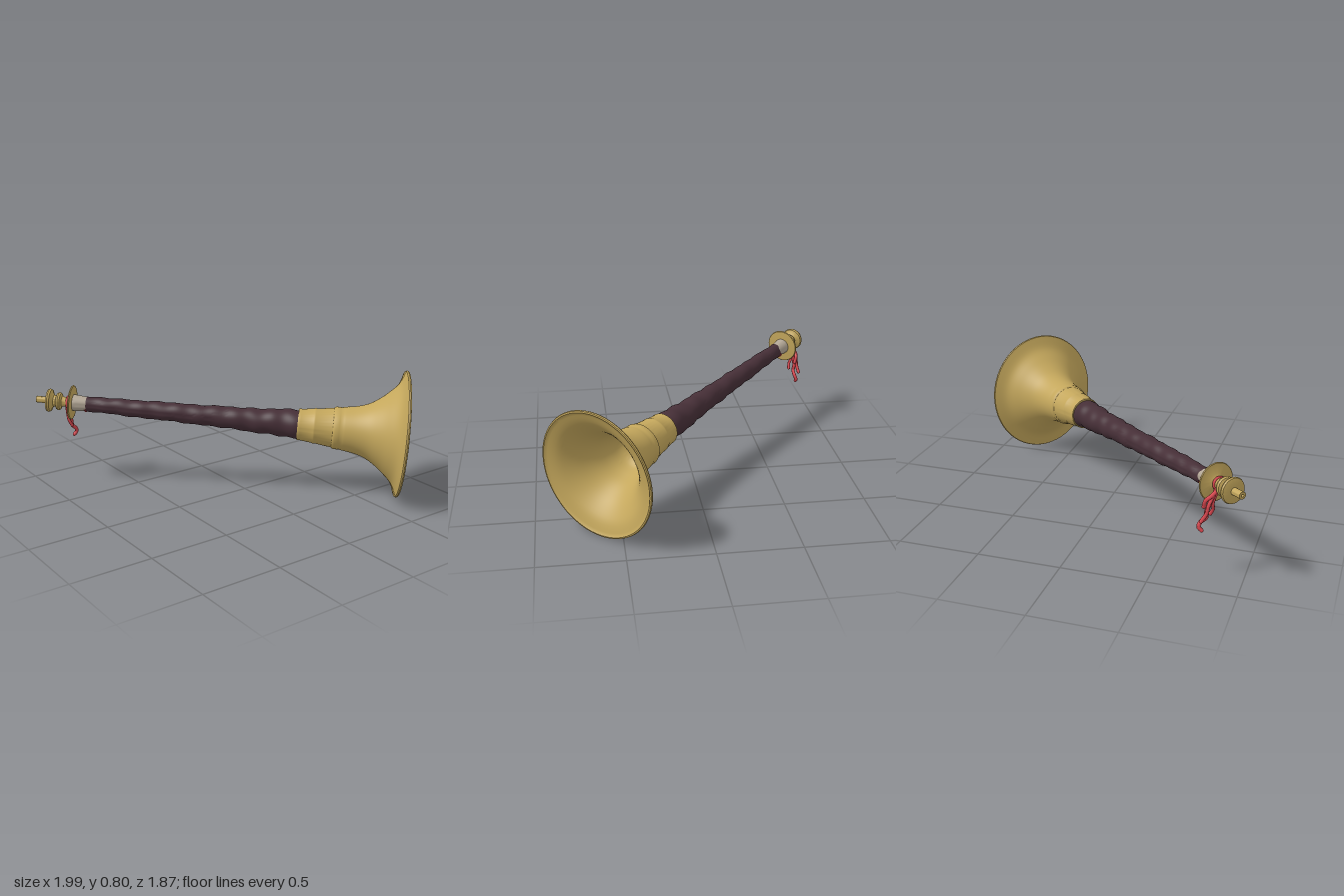
import * as THREE from 'three';
import { toCreasedNormals } from 'three/addons/utils/BufferGeometryUtils.js';

const mat = (name, color, side = THREE.FrontSide) => {
  const m = new THREE.MeshStandardMaterial({ color, side });
  m.name = name;
  return m;
};

export function createModel() {
  const gold = mat('brass', 0xc4a75c);
  const dark = mat('dark wrapping', 0x462f37);
  const grey = mat('bare tube', 0xb3a796);
  const red = mat('red cord', 0xd9474f);

  const model = new THREE.Group();
  model.name = 'longHorn';

  // The horn is turned around local Y, from mouthpiece tip (0) to bell rim (2.34)
  const tip = new THREE.Vector3(-0.985, 0.56, -0.92);
  const rim = new THREE.Vector3(0.75, 0.402, 0.645);
  const axis = rim.clone().sub(tip).normalize();
  const side = new THREE.Vector3(axis.z, 0, -axis.x).normalize();
  const horn = new THREE.Group();
  horn.name = 'horn';
  horn.position.copy(tip);
  horn.quaternion.setFromRotationMatrix(
    new THREE.Matrix4().makeBasis(side, axis, side.clone().cross(axis)));
  model.add(horn);

  const add = (parent, name, geometry, material) => {
    const mesh = new THREE.Mesh(geometry, material);
    mesh.name = name;
    parent.add(mesh);
    return mesh;
  };

  // Turned part; an optional rule reshapes each vertex
  const turned = (name, points, material, segments = 48, rule = null, crease = 0.6) => {
    const geo = new THREE.LatheGeometry(points.map(([r, t]) => new THREE.Vector2(r, t)), segments);
    if (rule) {
      const p = geo.attributes.position;
      const v = new THREE.Vector3();
      for (let i = 0; i < p.count; i++) {
        rule(v.fromBufferAttribute(p, i));
        p.setXYZ(i, v.x, v.y, v.z);
      }
    }
    return add(horn, name, toCreasedNormals(geo, crease), material);
  };

  // Mouthpiece: bored stem, two turned discs, neck and wide flange
  turned('mouthpiece', [
    [0.0, 0.05], [0.008, 0.05], [0.008, 0], [0.021, 0], [0.021, 0.07],
    [0.05, 0.07], [0.071, 0.075], [0.075, 0.085], [0.07, 0.097], [0.05, 0.104],
    [0.038, 0.115], [0.038, 0.13], [0.053, 0.137], [0.058, 0.148], [0.053, 0.16],
    [0.035, 0.168], [0.029, 0.185], [0.034, 0.215], [0.05, 0.224],
    [0.107, 0.227], [0.111, 0.232], [0.107, 0.238], [0.045, 0.242],
  ], gold);

  // Bare tube between flange and wrapping
  turned('bareTube', [[0.053, 0.238], [0.051, 0.27], [0.047, 0.31], [0.044, 0.35]], grey, 32);

  // Cloth-wrapped shaft with uneven spiral folds
  const radii = new THREE.SplineCurve([
    [0.33, 0.047], [0.5, 0.051], [0.7, 0.056], [1.0, 0.062], [1.3, 0.071], [1.5, 0.081], [1.7, 0.093],
  ].map(([t, r]) => new THREE.Vector2(t, r)));
  const shaftPoints = radii.getPoints(110).map((q) => [q.y, q.x]);
  shaftPoints.unshift([0.04, 0.33]);
  turned('wrappedShaft', shaftPoints, dark, 40, (v) => {
    const a = Math.atan2(v.z, v.x);
    const k = 1 + 0.035 * Math.sin(v.y * 52 + a) + 0.025 * Math.sin(v.y * 31 - 2 * a)
      + 0.02 * Math.sin(v.y * 17 + a + 1);
    v.x *= k;
    v.z *= k;
  }, 1.2);

  // Bell: outside with collar bands, rolled rim, then the inside
  const flare = (v) => {
    const f = THREE.MathUtils.smoothstep(v.y, 1.95, 2.34);
    v.x *= 1 - 0.055 * f;
    v.y -= 0.033 * v.x * f;
  };
  const curve = (pts, n) => new THREE.SplineCurve(pts.map((p) => new THREE.Vector2(...p)))
    .getPoints(n).map((q) => [q.x, q.y]);
  turned('bell', [
    [0.085, 1.685], [0.098, 1.685], [0.101, 1.693], [0.099, 1.703], [0.108, 1.78],
    [0.111, 1.784], [0.112, 1.794], [0.11, 1.8], [0.125, 1.905],
    [0.131, 1.91], [0.134, 1.92], [0.134, 1.945], [0.132, 1.952],
    ...curve([[0.137, 1.97], [0.15, 2.05], [0.173, 2.12], [0.21, 2.18], [0.255, 2.235],
      [0.315, 2.293], [0.388, 2.322]], 28),
    [0.396, 2.324], [0.4, 2.332], [0.397, 2.34], [0.388, 2.342],
    ...curve([[0.38, 2.335], [0.31, 2.306], [0.245, 2.25], [0.198, 2.19], [0.162, 2.125],
      [0.138, 2.05], [0.115, 1.98], [0.075, 1.94]], 28),
  ], gold, 72, flare);

  // Throat floor: dark on one half, red on the other
  [[dark, 'throatDark', 0], [red, 'throatRed', Math.PI]].forEach(([m, name, turn]) => {
    const half = add(horn, name, new THREE.CircleGeometry(0.085, 20, Math.PI / 2 + turn, Math.PI), m);
    half.rotation.x = -Math.PI / 2;
    half.position.y = 1.948;
  });

  // Cord loops round the neck and under the start of the wrapping
  const loop = (name, t, r, thick, start, arc) => {
    const ring = add(horn, name, new THREE.TorusGeometry(r, thick, 8, 32, arc), red);
    ring.rotation.set(Math.PI / 2, 0, start);
    ring.position.y = t;
  };
  loop('neckCord', 0.205, 0.034, 0.008, 0, Math.PI * 2);
  loop('wrapCord', 0.326, 0.049, 0.005, 0.3, 2.4);

  // Tassel strands hanging behind the flange
  const tassel = new THREE.Group();
  tassel.name = 'tassel';
  model.add(tassel);
  const strand = (name, r, pts) => {
    const path = new THREE.CatmullRomCurve3(pts.map((p) => new THREE.Vector3(...p)));
    add(tassel, name, new THREE.TubeGeometry(path, 24, r, 7), red);
    [0, 1].forEach((e) => add(tassel, name + 'End', new THREE.SphereGeometry(r, 7, 6), red)
      .position.copy(path.getPoint(e)));
  };
  strand('longStrand', 0.012, [[-0.825, 0.52, -0.815], [-0.805, 0.46, -0.845], [-0.785, 0.40, -0.85],
    [-0.785, 0.365, -0.845], [-0.755, 0.335, -0.85], [-0.748, 0.31, -0.86], [-0.765, 0.292, -0.86]]);
  strand('middleStrand', 0.011, [[-0.825, 0.52, -0.82], [-0.8, 0.45, -0.865], [-0.79, 0.40, -0.87], [-0.765, 0.355, -0.88]]);
  strand('shortStrand', 0.01, [[-0.83, 0.51, -0.81], [-0.815, 0.45, -0.835], [-0.815, 0.41, -0.82], [-0.8, 0.375, -0.815]]);
  strand('knotStrand', 0.012, [[-0.84, 0.53, -0.82], [-0.81, 0.5, -0.855], [-0.78, 0.47, -0.86], [-0.77, 0.43, -0.85]]);

  return model;
}
